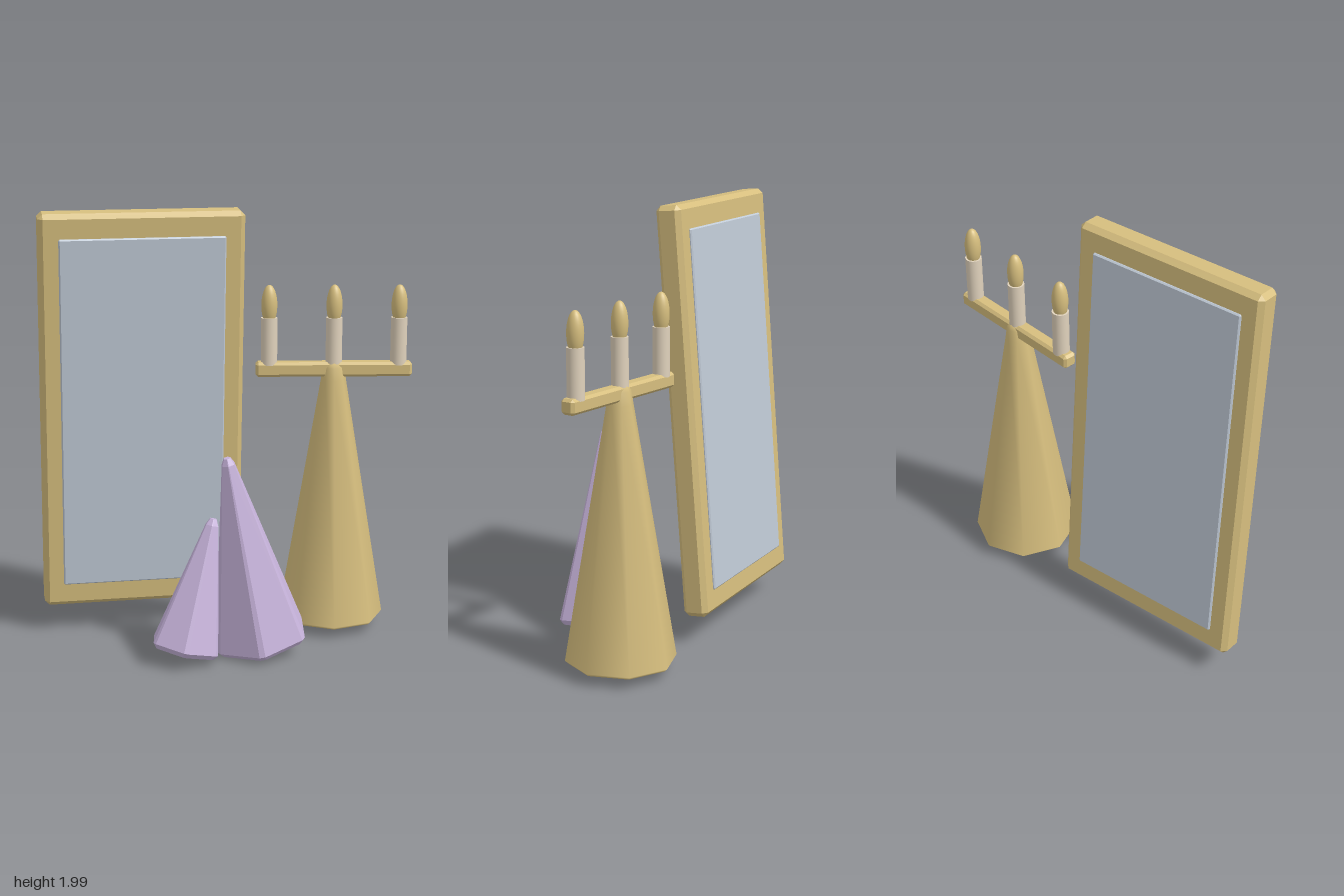
import * as THREE from 'three';
import { ConvexGeometry } from 'three/addons/geometries/ConvexGeometry.js';

const mat = (name, color) => {
  const m = new THREE.MeshStandardMaterial({ color });
  m.name = name;
  return m;
};

function add(parent, name, geometry, material, x = 0, y = 0, z = 0) {
  const mesh = new THREE.Mesh(geometry, material);
  mesh.name = name;
  mesh.position.set(x, y, z);
  parent.add(mesh);
  return mesh;
}

// Box with every edge chamfered by c
function chamferBox(w, h, d, c) {
  const points = [];
  for (const sx of [-1, 1]) for (const sy of [-1, 1]) for (const sz of [-1, 1]) {
    const x = w / 2, y = h / 2, z = d / 2;
    points.push(
      new THREE.Vector3(sx * x, sy * (y - c), sz * (z - c)),
      new THREE.Vector3(sx * (x - c), sy * y, sz * (z - c)),
      new THREE.Vector3(sx * (x - c), sy * (y - c), sz * z));
  }
  return new ConvexGeometry(points);
}

// Six-sided spike with bevelled edges, base at the origin
function spike(r, h) {
  const rings = [[r - 0.018, 0], [r, 0.022], [0.032, h - 0.03], [0.016, h]];
  const points = [];
  for (const [radius, y] of rings) {
    for (let i = 0; i < 6; i++) {
      for (const s of [-0.06, 0.06]) {
        const a = i * Math.PI / 3 + s;
        points.push(new THREE.Vector3(Math.sin(a) * radius, y, Math.cos(a) * radius));
      }
    }
  }
  return new ConvexGeometry(points);
}

export function createModel() {
  const gold = mat('gold', 0xd6be7e);
  const glass = mat('mirror glass', 0xc0cad6);
  const wax = mat('candle wax', 0xe0d2bc);
  const crystal = mat('lilac crystal', 0xc8b4dc);
  const model = new THREE.Group();
  model.name = 'mirrorCandlesAndCrystals';

  // Leaning mirror, glass slightly proud of the frame on both sides
  const mirror = new THREE.Group();
  mirror.name = 'mirror';
  mirror.position.set(-0.388, 1.065, -0.147);
  mirror.rotation.set(0.08, 0.15, 0, 'YXZ');
  add(mirror, 'mirrorFrame', chamferBox(0.93, 1.866, 0.12, 0.022), gold);
  add(mirror, 'mirrorGlass', chamferBox(0.752, 1.646, 0.14, 0.006), glass);
  model.add(mirror);

  // Candelabrum with an eight-sided tapered stand
  const candelabrum = new THREE.Group();
  candelabrum.name = 'candelabrum';
  candelabrum.position.set(0.503, 0, -0.203);
  const profile = [[0.235, 0.05], [0.247, 0.062], [0.058, 1.2], [0.05, 1.255], [0.035, 1.285], [0, 1.287]]
    .map(([r, y]) => new THREE.Vector2(r, y));
  add(candelabrum, 'stand', new THREE.LatheGeometry(profile, 8), gold);
  const base = add(candelabrum, 'standBase', new THREE.CircleGeometry(0.235, 8), gold, 0, 0.05, 0);
  base.rotation.x = Math.PI / 2;
  add(candelabrum, 'candleBar', chamferBox(0.725, 0.068, 0.068, 0.012), gold, 0, 1.248, 0);
  for (const x of [-0.3, 0, 0.3]) {
    add(candelabrum, 'candle', new THREE.CylinderGeometry(0.038, 0.038, 0.22, 24), wax, x, 1.378, 0);
    const flame = add(candelabrum, 'flame', new THREE.SphereGeometry(0.037, 24, 16), gold, x, 1.545, 0);
    flame.scale.y = 2.57;
  }
  model.add(candelabrum);

  // Tilted crystals, each from its base centre to its tip
  const up = new THREE.Vector3(0, 1, 0);
  const crystals = [
    ['largeCrystal', 0.226, [0.155, 0.05, 0.143], [-0.003, 0.94, 0.252]],
    ['smallCrystal', 0.165, [-0.195, 0.05, 0.283], [-0.062, 0.645, 0.197]],
  ];
  for (const [name, r, from, to] of crystals) {
    const axis = new THREE.Vector3(...to).sub(new THREE.Vector3(...from));
    const mesh = add(model, name, spike(r, axis.length()), crystal, ...from);
    mesh.quaternion.setFromUnitVectors(up, axis.normalize());
  }
  return model;
}
